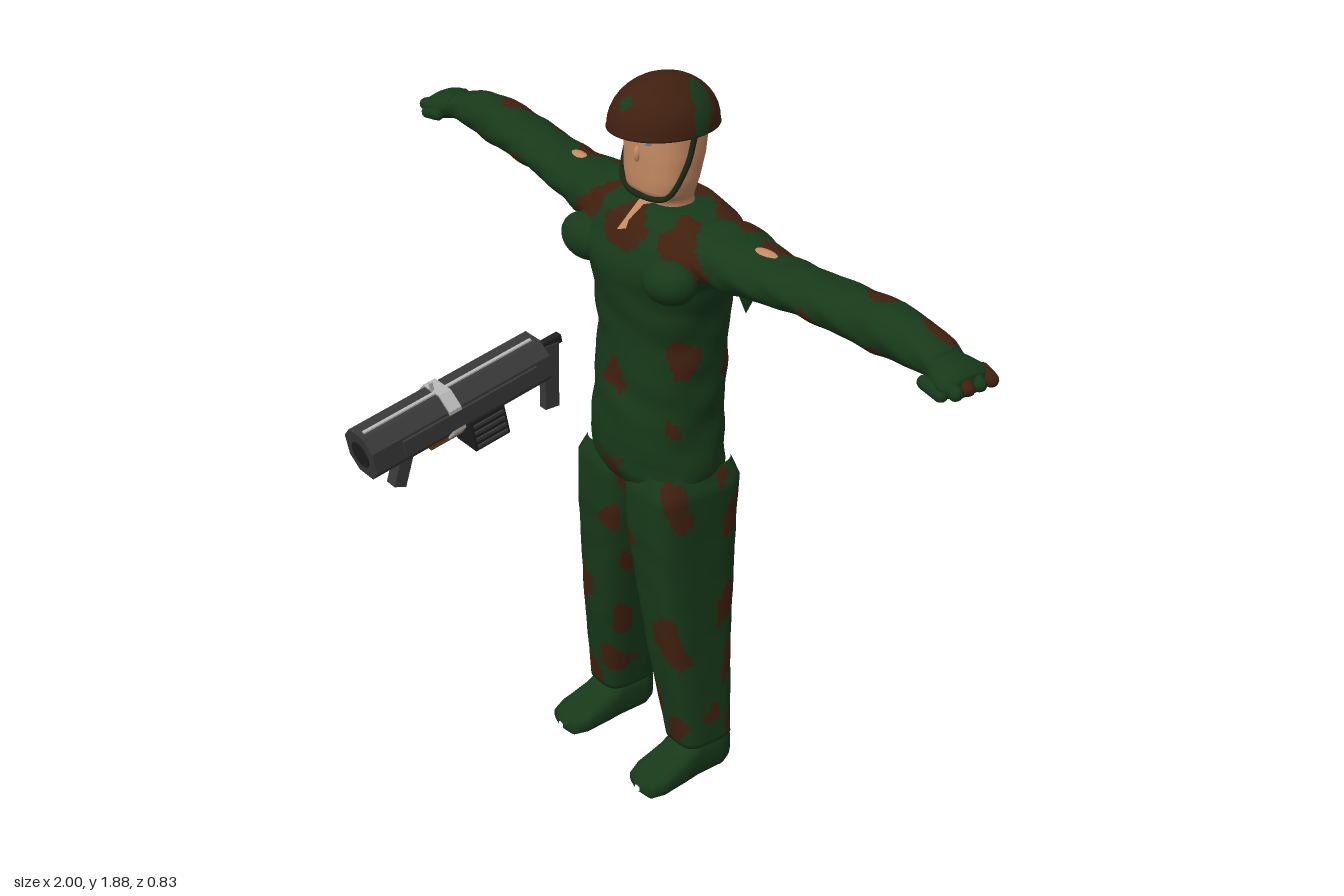
import * as THREE from 'three';

const mat = (color, opt = {}) => new THREE.MeshStandardMaterial({ color, ...opt });
const GREEN = mat(0x17391a), BROWN = mat(0x40200f), SKIN = mat(0xc48a62), STRAP = mat(0x1b2612);
const GUN = mat(0x383838, { flatShading: true }), DARK = mat(0x1e1e1e, { flatShading: true });
const SILVER = mat(0xb4b4b4, { flatShading: true }), WOOD = mat(0x6a3c16), EYE = mat(0xaab4c8);

// Blotchy pattern deciding which cloth faces are brown
const camo = (x, y, z) => {
  x = Math.abs(x);
  const shoulder = y > 1.47 && x < 0.25 ? 1.3 : 0;
  return Math.sin(36 * x + 2 * Math.sin(17 * y)) + Math.sin(30 * y + 2.5 * Math.sin(21 * z))
    + Math.sin(33 * z + 2 * Math.sin(15 * x)) + shoulder > 1.25;
};

// Loft along an axis. Rows are [t, centreA, centreB, radiusA, radiusB];
// (axis, A, B) are x,y,z in cyclic order. Mirror flips x.
function loft(name, rows, axis, { n = 2, seg = 48, step = 0.014, mirror = 1, wrinkle = 0, material = null } = {}) {
  const ax = 'xyz'.indexOf(axis), rings = [rows[0]];
  for (let k = 1; k < rows.length; k++) {
    const p = rows[k - 1], q = rows[k];
    const span = Math.max(...q.map((v, c) => Math.abs(v - p[c])));
    const parts = Math.max(1, Math.ceil(span / step));
    for (let s = 1; s <= parts; s++) rings.push(p.map((v, c) => v + (q[c] - v) * s / parts));
  }
  const pos = [], sets = [[], []];
  const pw = v => Math.sign(v) * Math.abs(v) ** (2 / n);
  for (const [t, ca, cb, ra, rb] of rings) for (let j = 0; j < seg; j++) {
    const a = j / seg * Math.PI * 2;
    const f = 1 + wrinkle * (Math.sin(t * 42 + 3 * Math.sin(a * 2)) + 0.6 * Math.sin(t * 71 + a * 3));
    const p = [0, 0, 0];
    p[ax] = t;
    p[(ax + 1) % 3] = ca + ra * f * pw(Math.cos(a));
    p[(ax + 2) % 3] = cb + rb * f * pw(Math.sin(a));
    pos.push(p[0] * mirror, p[1], p[2]);
  }
  for (let i = 0; i < rings.length - 1; i++) for (let j = 0; j < seg; j++) {
    const a = i * seg + j, b = i * seg + (j + 1) % seg, c = b + seg, d = a + seg;
    const mid = k => (pos[a * 3 + k] + pos[c * 3 + k]) / 2;
    const set = sets[!material && camo(mid(0), mid(1), mid(2)) ? 1 : 0];
    set.push(...(mirror > 0 ? [a, b, c, a, c, d] : [a, c, b, a, d, c]));
  }
  const whole = new THREE.BufferGeometry();
  whole.setAttribute('position', new THREE.Float32BufferAttribute(pos, 3));
  whole.setIndex([...sets[0], ...sets[1]]);
  whole.computeVertexNormals();
  const group = new THREE.Group();
  group.name = name;
  sets.forEach((set, k) => {
    if (!set.length) return;
    const g = new THREE.BufferGeometry();
    g.setAttribute('position', whole.attributes.position);
    g.setAttribute('normal', whole.attributes.normal);
    g.setIndex(set);
    const m = new THREE.Mesh(g, material || [GREEN, BROWN][k]);
    m.name = name + (k ? 'Patches' : 'Base');
    group.add(m);
  });
  return group;
}

function add(parent, name, geo, material, p = [0, 0, 0], r = [0, 0, 0], s = [1, 1, 1]) {
  const m = new THREE.Mesh(geo, material);
  m.name = name;
  m.position.set(...p);
  m.rotation.set(...r);
  m.scale.set(...s);
  parent.add(m);
  return m;
}
const box = (x, y, z) => new THREE.BoxGeometry(x, y, z);

// Bar with an eight-sided section, centred, running along z
function chamferedBar(w, h, len, c) {
  const x = w / 2, y = h / 2;
  const pts = [[x, y - c], [x - c, y], [c - x, y], [-x, y - c], [-x, c - y], [c - x, -y], [x - c, -y], [x, c - y]];
  const shape = new THREE.Shape(pts.map(p => new THREE.Vector2(...p)));
  return new THREE.ExtrudeGeometry(shape, { depth: len, bevelEnabled: false }).translate(0, 0, -len / 2);
}

function buildLauncher() {
  const g = new THREE.Group();
  g.name = 'launcher';
  add(g, 'launcherBody', chamferedBar(0.125, 0.122, 0.53, 0.032), GUN);
  add(g, 'launcherBand', chamferedBar(0.138, 0.132, 0.035, 0.034), SILVER, [0, 0, 0.025]);
  add(g, 'topRail', box(0.01, 0.006, 0.5), SILVER, [0.012, 0.062, 0]);
  add(g, 'sight', box(0.008, 0.025, 0.008), SILVER, [0, 0.075, 0.04]);
  for (const s of [-1, 1]) add(g, 'sidePanel', box(0.012, 0.045, 0.4), GUN, [s * 0.064, 0, -0.02]);
  add(g, 'muzzle', new THREE.CylinderGeometry(0.035, 0.035, 0.012, 16), DARK, [0, 0, 0.262], [Math.PI / 2, 0, 0]);
  add(g, 'woodGuard', box(0.06, 0.022, 0.1), WOOD, [0, -0.062, 0.045]);
  add(g, 'foreGrip', box(0.035, 0.095, 0.035), GUN, [0, -0.092, 0.172], [-0.5, 0, 0]);
  // Ribbed magazine
  add(g, 'magazine', box(0.085, 0.095, 0.105), DARK, [-0.02, -0.105, -0.08]);
  for (let i = 0; i < 4; i++) add(g, 'magazineRib', box(0.095, 0.008, 0.09), GUN, [-0.02, -0.08 - i * 0.02, -0.08]);
  // Rear grip
  add(g, 'rearRod', box(0.02, 0.022, 0.09), DARK, [-0.01, 0.01, -0.3]);
  add(g, 'rearGrip', box(0.026, 0.18, 0.042), GUN, [-0.01, -0.08, -0.295], [-0.2, 0, 0]);
  g.position.set(-0.305, 1.02, 0.15);
  g.rotation.x = 0.2;
  return g;
}

export function createModel() {
  const model = new THREE.Group();
  model.name = 'soldier';

  // Jacket
  model.add(loft('jacket', [
    [0.865, -0.26, 0, 0.01, 0.01], [0.865, -0.26, 0, 0.13, 0.175], [0.9, -0.258, 0, 0.142, 0.182],
    [0.95, -0.255, 0, 0.147, 0.175], [1.03, -0.255, 0, 0.147, 0.164], [1.12, -0.26, 0, 0.144, 0.166],
    [1.25, -0.265, 0, 0.143, 0.163], [1.35, -0.262, 0, 0.148, 0.175], [1.42, -0.257, 0, 0.153, 0.2],
    [1.46, -0.257, 0, 0.15, 0.235], [1.51, -0.27, 0, 0.138, 0.25], [1.545, -0.275, 0, 0.122, 0.22],
    [1.575, -0.28, 0, 0.09, 0.13], [1.58, -0.275, 0, 0.03, 0.04],
  ], 'y', { n: 2.25, seg: 84, wrinkle: 0.011 }));

  // Head, neck and open collar
  model.add(loft('head', [
    [1.54, -0.27, 0, 0.055, 0.08], [1.59, -0.262, 0, 0.052, 0.076], [1.605, -0.248, 0, 0.066, 0.086],
    [1.64, -0.25, 0, 0.071, 0.097], [1.7, -0.257, 0, 0.08, 0.101], [1.77, -0.262, 0, 0.085, 0.1],
    [1.81, -0.262, 0, 0.06, 0.07],
  ], 'y', { n: 2.5, seg: 28, material: SKIN }));
  add(model, 'collarSkin', new THREE.CylinderGeometry(0.07, 0.13, 0.055, 3), SKIN, [0, 1.555, -0.252]);
  add(model, 'nose', new THREE.SphereGeometry(0.012, 10, 8), SKIN, [0, 1.7, -0.178], [0, 0, 0], [0.8, 1.6, 0.8]);

  // Helmet with chin strap
  const dome = [[1.758, -0.253, 0, 0.01, 0.01], [1.758, -0.253, 0, 0.14, 0.118]];
  for (let i = 0; i <= 10; i++) {
    const a = i / 10 * Math.PI / 2, r = Math.cos(a) + 0.001;
    dome.push([1.762 + 0.113 * Math.sin(a), -0.253, 0, 0.138 * r, 0.117 * r]);
  }
  model.add(loft('helmet', dome, 'y', { seg: 64 }));
  const half = [[0.112, 1.765, -0.255], [0.109, 1.69, -0.235], [0.082, 1.612, -0.2]];
  const strapPath = [...half, [0, 1.602, -0.178], ...half.map(([x, y, z]) => [-x, y, z]).reverse()];
  const strapCurve = new THREE.CatmullRomCurve3(strapPath.map(p => new THREE.Vector3(...p)));
  add(model, 'chinStrap', new THREE.TubeGeometry(strapCurve, 48, 0.007, 6), STRAP);

  for (const s of [1, -1]) {
    const side = s > 0 ? 'left' : 'right';
    add(model, side + 'Eye', new THREE.SphereGeometry(0.014, 14, 10), EYE, [s * 0.035, 1.743, -0.184]);

    // Trouser leg
    model.add(loft(side + 'Leg', [
      [0.115, -0.2825, 0.1625, 0.01, 0.01], [0.115, -0.2825, 0.1625, 0.078, 0.063],
      [0.4, -0.265, 0.133, 0.105, 0.073], [0.74, -0.257, 0.1, 0.132, 0.095],
      [0.86, -0.26, 0.097, 0.136, 0.097], [0.91, -0.26, 0.09, 0.12, 0.08],
    ], 'y', { n: 3.6, seg: 56, mirror: s, wrinkle: 0.004 }));

    // Boot
    model.add(loft(side + 'Boot', [
      [-0.358, 0.163, 0.07, 0.005, 0.005], [-0.355, 0.163, 0.068, 0.045, 0.06],
      [-0.33, 0.163, 0.069, 0.057, 0.069], [-0.25, 0.163, 0.067, 0.058, 0.067],
      [-0.2, 0.164, 0.048, 0.06, 0.048], [-0.13, 0.166, 0.033, 0.062, 0.033],
      [-0.095, 0.167, 0.027, 0.05, 0.026], [-0.08, 0.167, 0.024, 0.01, 0.008],
    ], 'z', { n: 2.8, seg: 28, mirror: s, material: GREEN }));

    // Sleeve
    model.add(loft(side + 'Sleeve', [
      [0.1, 1.5, -0.28, 0.06, 0.1], [0.2, 1.5, -0.285, 0.072, 0.108], [0.28, 1.495, -0.283, 0.068, 0.095],
      [0.38, 1.502, -0.28, 0.054, 0.08], [0.5, 1.512, -0.286, 0.051, 0.074], [0.62, 1.515, -0.295, 0.054, 0.074],
      [0.72, 1.516, -0.3, 0.06, 0.068], [0.8, 1.516, -0.3, 0.053, 0.062], [0.87, 1.51, -0.3, 0.04, 0.055],
      [0.9, 1.505, -0.295, 0.034, 0.052], [0.905, 1.505, -0.295, 0.005, 0.01],
    ], 'x', { seg: 48, mirror: s, wrinkle: 0.022 }));

    // Gloved hand with curled fingers and thumb
    model.add(loft(side + 'Hand', [
      [0.88, 1.507, -0.295, 0.03, 0.045], [0.92, 1.5, -0.288, 0.036, 0.064],
      [0.955, 1.497, -0.286, 0.036, 0.072], [0.975, 1.495, -0.286, 0.025, 0.06], [0.98, 1.495, -0.286, 0.003, 0.01],
    ], 'x', { seg: 28, mirror: s, material: GREEN }));
    for (let i = 0; i < 4; i++) {
      add(model, side + 'Finger', new THREE.CapsuleGeometry(0.0165, 0.03, 4, 10), i % 2 ? GREEN : BROWN,
        [s * 0.968, 1.499, -0.34 + i * 0.034], [0, 0, s * 1.2]);
    }
    add(model, side + 'Thumb', new THREE.CapsuleGeometry(0.016, 0.05, 4, 10), GREEN,
      [s * 0.93, 1.487, -0.225], [0, 0, s * 1.4]);

    // Chest pocket, torn sleeve opening and underarm flap
    add(model, side + 'ChestPocket', new THREE.SphereGeometry(1, 24, 16), GREEN,
      [s * 0.155, 1.445, -0.155], [-0.35, 0, s * 0.1], [0.075, 0.055, 0.058]);
    add(model, side + 'SleeveTear', new THREE.SphereGeometry(1, 20, 12), SKIN,
      [s * 0.35, 1.535, -0.275], [0, s * 0.15, -s * 0.1], [0.055, 0.028, 0.024]);
    add(model, side + 'UnderarmFlap', new THREE.ConeGeometry(0.035, 0.07, 8), GREEN,
      [s * 0.315, 1.435, -0.25], [Math.PI, 0, 0], [1, 1, 0.7]);
  }

  model.add(buildLauncher());
  return model;
}
